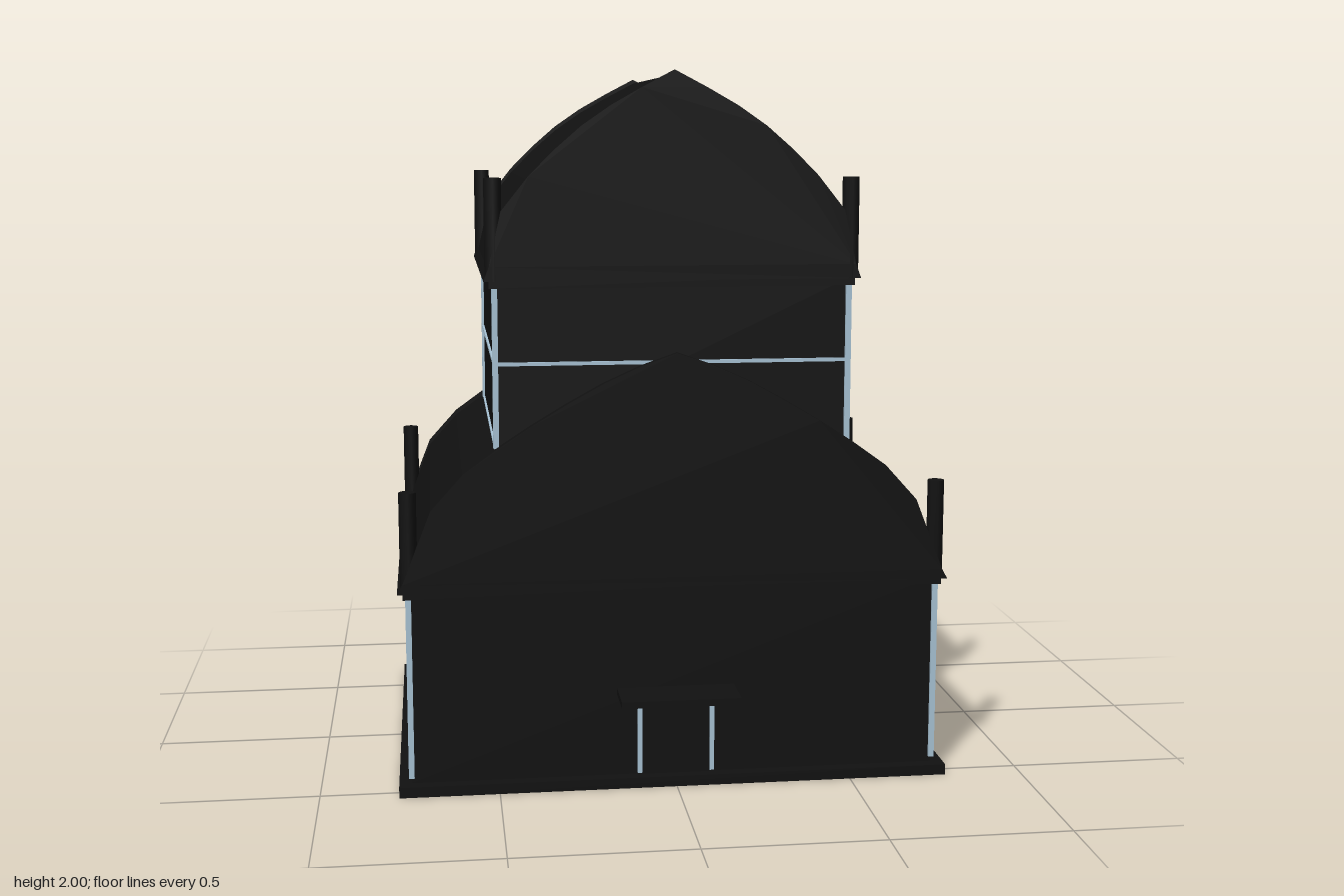
import * as THREE from 'three';

export function createModel() {
  const model = new THREE.Group();
  model.name = 'twoTierHall';
  const black = new THREE.MeshStandardMaterial({ color: 0x111111 });
  black.name = 'black';
  const paleBlue = new THREE.MeshStandardMaterial({ color: 0xa9c4d6 });
  paleBlue.name = 'pale blue';
  const MID = -0.05; // the building sits slightly behind the porch

  function add(name, geometry, material, x = 0, y = 0, z = 0, parent = model) {
    const mesh = new THREE.Mesh(geometry, material);
    mesh.name = name;
    mesh.position.set(x, y, z);
    parent.add(mesh);
    return mesh;
  }

  // box given by its lower and upper height, centred on x and z
  function block(name, w, y0, y1, d, material, x = 0, z = MID, parent = model) {
    return add(name, new THREE.BoxGeometry(w, y1 - y0, d), material, x, (y0 + y1) / 2, z, parent);
  }

  // pointed barrel roof from half of its outline, eave to ridge
  function roofGeometry(half, depth, drop) {
    const pts = half.map(([x, y]) => new THREE.Vector2(x, y - drop));
    pts[0].y += drop;
    const left = half.slice(0, -1).reverse().map(([x, y]) => new THREE.Vector2(-x, y - drop));
    left[left.length - 1].y += drop;
    const g = new THREE.ExtrudeGeometry(new THREE.Shape([...pts, ...left]), { depth, bevelEnabled: false });
    return g.translate(0, 0, -depth / 2);
  }

  // one storey: walls, cornice, corner strips, roof, gable rims and finials
  function storey(name, s) {
    const g = new THREE.Group();
    g.name = name;
    model.add(g);
    block('walls', s.w * 2, s.y0, s.y1, s.d * 2, black, 0, MID, g);
    block('cornice', s.w * 2 + 0.03, s.y1 - 0.02, s.y1 + 0.01, s.d * 2 + 0.03, black, 0, MID, g);
    add('roof', roofGeometry(s.roof, s.roofDepth * 2 - 0.02, 0.012), black, 0, 0, MID, g);
    for (const sz of [-1, 1]) {
      add('gableRim', roofGeometry(s.roof, 0.022, 0), black, 0, 0, MID + sz * (s.roofDepth - 0.011), g);
      for (const sx of [-1, 1]) {
        block('cornerStrip', 0.016, s.strip0, s.y1 - 0.02, 0.016, paleBlue, sx * s.w, MID + sz * s.d, g);
        const h = s.finialTop - s.y1;
        add('finial', new THREE.CylinderGeometry(0.024, 0.024, h, 8), black,
          sx * s.finialX, s.y1 + h / 2, MID + sz * s.finialZ, g);
      }
    }
    return g;
  }

  block('basePlate', 1.56, 0, 0.03, 1.19, black);

  storey('lowerStorey', {
    w: 0.745, d: 0.56, y0: 0.03, y1: 0.58, strip0: 0.045,
    roofDepth: 0.585, finialX: 0.742, finialZ: 0.56, finialTop: 0.86,
    roof: [[0.775, 0.578], [0.76, 0.605], [0.68, 0.81], [0.59, 0.91], [0.5, 0.975],
      [0.4, 1.04], [0.3, 1.1], [0.2, 1.155], [0.1, 1.2], [0, 1.235]],
  });

  const upper = storey('upperStorey', {
    w: 0.495, d: 0.497, y0: 0.96, y1: 1.43, strip0: 0.965,
    roofDepth: 0.522, finialX: 0.497, finialZ: 0.5, finialTop: 1.71,
    roof: [[0.525, 1.43], [0.51, 1.47], [0.476, 1.62], [0.4, 1.715], [0.33, 1.785],
      [0.255, 1.85], [0.175, 1.905], [0.09, 1.953], [0, 2]],
  });

  // pale bands around the upper walls
  for (const [y, t] of [[1.2, 0.01], [0.966, 0.006]]) {
    for (const s of [-1, 1]) {
      block('wallBand', 0.99, y - t / 2, y + t / 2, 0.008, paleBlue, 0, MID + s * 0.499, upper);
      block('wallBand', 0.008, y - t / 2, y + t / 2, 0.994, paleBlue, s * 0.497, MID, upper);
    }
  }

  // doorway with its frame and flat canopy
  const door = new THREE.Group();
  door.name = 'entrance';
  model.add(door);
  for (const s of [-1, 1]) {
    block('doorJamb', 0.013, 0.035, 0.247, 0.016, paleBlue, s * 0.103, 0.512, door);
  }
  block('doorLintel', 0.193, 0.235, 0.247, 0.016, paleBlue, 0, 0.512, door);
  block('doorPanel', 0.193, 0.03, 0.235, 0.006, black, 0, 0.512, door);
  block('canopy', 0.334, 0.265, 0.284, 0.14, black, 0, 0.573, door);

  return model;
}
